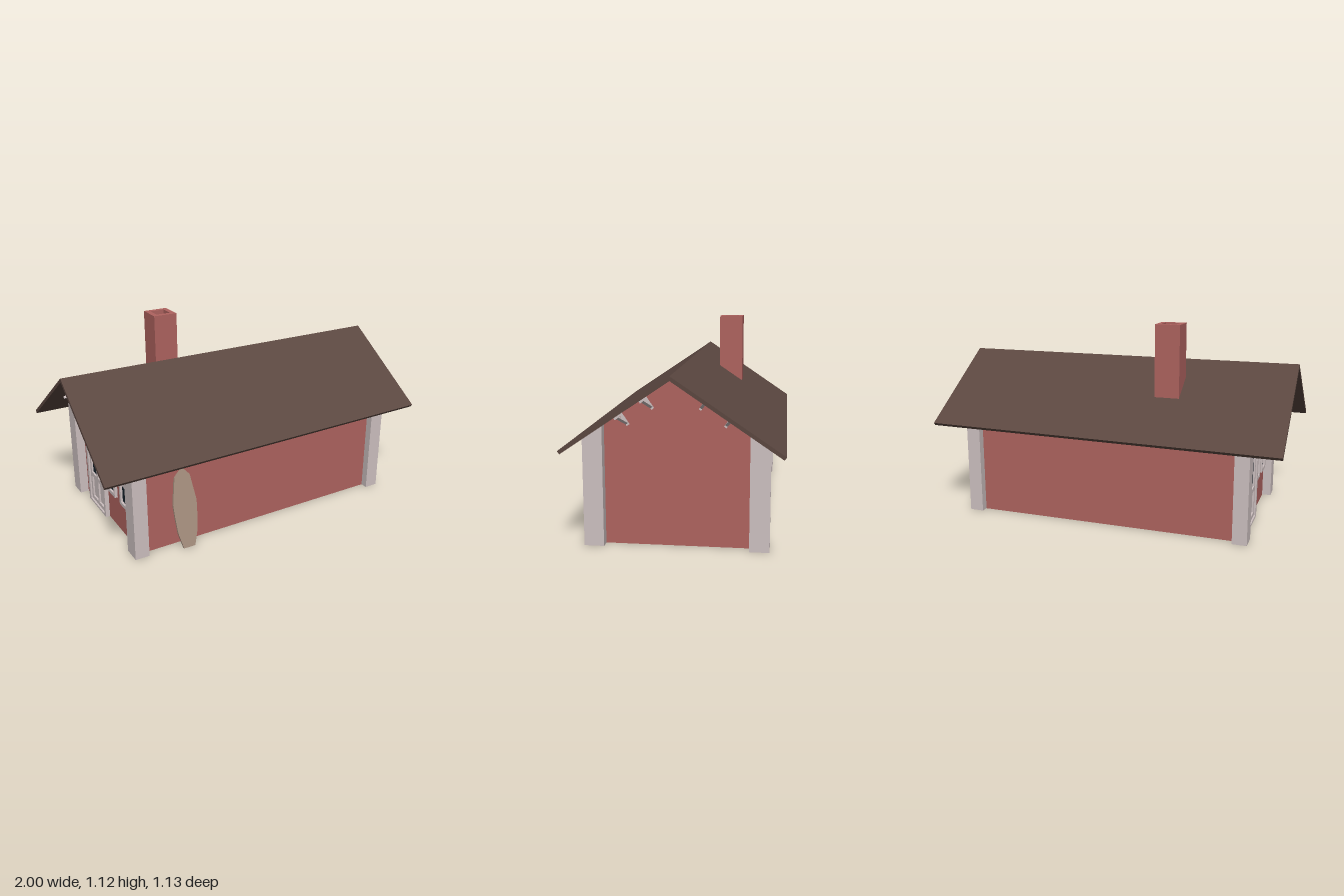
import * as THREE from 'three';

const mat = (name, color, side = THREE.FrontSide) =>
  new THREE.MeshStandardMaterial({ name, color, side });

// Roof section: height of the underside at depth z
const SLOPE = 0.675, UNDER = 0.878, RIDGE = 0.9;
const under = z => UNDER - SLOPE * Math.abs(z);

// Half sizes of the walls
const WX = 0.775, WZ = 0.43;

export function createModel() {
  const group = new THREE.Group();
  const red = mat('redWall', 0xae635f, THREE.DoubleSide);
  const trim = mat('paleTrim', 0xcdc0c0, THREE.DoubleSide);
  const brown = mat('brownRoof', 0x5b4740);
  const glass = mat('darkGlass', 0x17232c);
  const wood = mat('tanBoard', 0xa68f7e);

  const add = (name, geometry, material, parent = group) => {
    const mesh = new THREE.Mesh(geometry, material);
    mesh.name = name;
    parent.add(mesh);
    return mesh;
  };
  const polygon = pts => new THREE.Shape(pts.map(p => new THREE.Vector2(...p)));
  const rect = (a, b, c, d) => [[a, c], [b, c], [b, d], [a, d]];

  // Thin walls, open below
  for (const s of [-1, 1]) {
    const h = under(WZ) + 0.005;
    const side = add(s > 0 ? 'frontWall' : 'backWall', new THREE.PlaneGeometry(2 * WX, h), red);
    side.position.set(0, h / 2, s * WZ);
    if (s < 0) side.rotation.y = Math.PI;
    const gable = add(s > 0 ? 'leftGable' : 'rightGable', new THREE.ShapeGeometry(polygon(
      [[-WZ, 0], [WZ, 0], [WZ, h], [0, UNDER + 0.005], [-WZ, h]])), red);
    gable.position.x = s * WX;
    gable.rotation.y = s * Math.PI / 2;
  }

  // Hollow corner posts cut to the roof slope
  for (const sx of [-1, 1]) for (const sz of [-1, 1]) {
    const g = new THREE.BoxGeometry(0.08, 1, 0.102);
    g.translate(sx * 0.786, 0.5, sz * 0.42);
    const p = g.attributes.position;
    for (let i = 0; i < p.count; i++) if (p.getY(i) > 0.5) p.setY(i, under(p.getZ(i)) + 0.003);
    const idx = Array.from(g.index.array);
    g.setIndex([...idx.slice(0, 12), ...idx.slice(24)]);
    g.clearGroups();
    add('cornerPost', g, trim);
  }

  // Roof: folded slab whose eaves taper slightly along the ridge
  const roof = new THREE.ExtrudeGeometry(polygon([
    [0, RIDGE], [-0.563, 0.52], [-0.552, 0.505], [0, UNDER], [0.552, 0.505], [0.563, 0.52],
  ]), { depth: 2, bevelEnabled: false });
  roof.rotateY(Math.PI / 2);
  roof.translate(-1, 0, 0);
  const rp = roof.attributes.position;
  for (let i = 0; i < rp.count; i++) {
    const z = rp.getZ(i), t = (rp.getX(i) + 1) / 2;
    if (Math.abs(z) < 0.3) continue;
    rp.setZ(i, z - Math.sign(z) * 0.019 * t);
    rp.setY(i, rp.getY(i) + 0.0128 * t);
  }
  roof.computeVertexNormals();
  add('roof', roof, brown);

  // Square chimney tube, its foot following the roof
  const flue = polygon(rect(-0.07, 0.07, -0.07, 0.07));
  flue.holes.push(polygon(rect(-0.042, 0.042, -0.042, 0.042)));
  const chimney = new THREE.ExtrudeGeometry(flue, { depth: 1.12, bevelEnabled: false });
  chimney.rotateX(-Math.PI / 2);
  chimney.translate(-0.322, 0, -0.2);
  const cp = chimney.attributes.position;
  for (let i = 0; i < cp.count; i++) if (cp.getY(i) < 0.5) cp.setY(i, under(cp.getZ(i)) + 0.006);
  add('chimney', chimney, red);

  // Knee brackets under the gable overhangs
  const tilt = Math.atan(SLOPE);
  const LEN = 0.075, REACH = 0.13, T = 0.014;
  for (const sx of [-1, 1]) for (const sz of [-1, 1]) for (const z of [0.285, 0.16]) {
    const b = new THREE.Group();
    b.name = 'roofBracket';
    const bar = (name, w, h, x, y, rot = 0) => {
      const m = add(name, new THREE.BoxGeometry(w, h, T), trim, b);
      m.position.set(sx * x, y, 0);
      m.rotation.z = sx * rot;
    };
    bar('bracketTop', REACH, T, REACH / 2, -T / 2);
    bar('bracketWallBar', T, LEN, T / 2, -LEN / 2);
    bar('bracketStrut', Math.hypot(REACH - 0.04, LEN - 0.02), T * 0.8,
      REACH * 0.42, -LEN * 0.46, Math.atan2(LEN - 0.02, REACH - 0.04));
    b.position.set(sx * WX, under(z), sz * z);
    b.rotation.x = sz * tilt;
    group.add(b);
  }

  // Framed openings on the -x gable, laid out in (z, y)
  const framed = (name, outer, holes, x, depth, parent) => {
    const shape = polygon(rect(...outer));
    holes.forEach(h => shape.holes.push(polygon(rect(...h))));
    const g = new THREE.ExtrudeGeometry(shape, { depth, bevelEnabled: false });
    g.rotateY(-Math.PI / 2);
    add(name, g, trim, parent).position.x = x;
  };
  const pane = (name, [z0, z1, y0, y1], material, parent) => {
    const m = add(name, new THREE.PlaneGeometry(z1 - z0, y1 - y0), material, parent);
    m.rotation.y = -Math.PI / 2;
    m.position.set(-WX - 0.005, (y0 + y1) / 2, (z0 + z1) / 2);
  };

  // Two sash windows
  for (const z of [0.065, 0.265]) {
    const w = new THREE.Group();
    w.name = 'sashWindow';
    group.add(w);
    const sashes = [[0.215, 0.325], [0.345, 0.455]].map(([a, b]) => [z - 0.047, z + 0.047, a, b]);
    framed('windowFrame', [z - 0.065, z + 0.065, 0.195, 0.475], sashes, -0.768, 0.024, w);
    sashes.forEach(s => pane('windowPane', s, glass, w));
  }

  // Double door with glazed tops and solid lower panels
  const door = new THREE.Group();
  door.name = 'door';
  group.add(door);
  framed('doorCasing', [-0.28, -0.015, 0, 0.48], [[-0.255, -0.04, 0.012, 0.458]], -0.768, 0.032, door);
  const columns = [[-0.235, -0.158], [-0.137, -0.06]];
  const lights = columns.map(c => [...c, 0.195, 0.435]);
  const panels = columns.map(c => [...c, 0.035, 0.17]);
  framed('doorLeaf', [-0.255, -0.04, 0.012, 0.458], [...lights, ...panels], -0.776, 0.014, door);
  lights.forEach(l => pane('doorGlass', l, glass, door));
  panels.forEach(l => pane('doorPanel', l, trim, door));

  // Board leaning on the front wall
  const half = [[0.034, 0], [0.058, 0.09], [0.066, 0.18], [0.07, 0.255], [0.045, 0.405], [0.008, 0.448]];
  const board = add('leaningBoard', new THREE.ExtrudeGeometry(
    polygon([...half, ...half.map(([x, y]) => [-x, y]).reverse()]),
    { depth: 0.012, bevelEnabled: false }), wood);
  board.position.set(-0.525, 0.002, 0.498);
  board.rotation.x = -0.18;

  return group;
}
